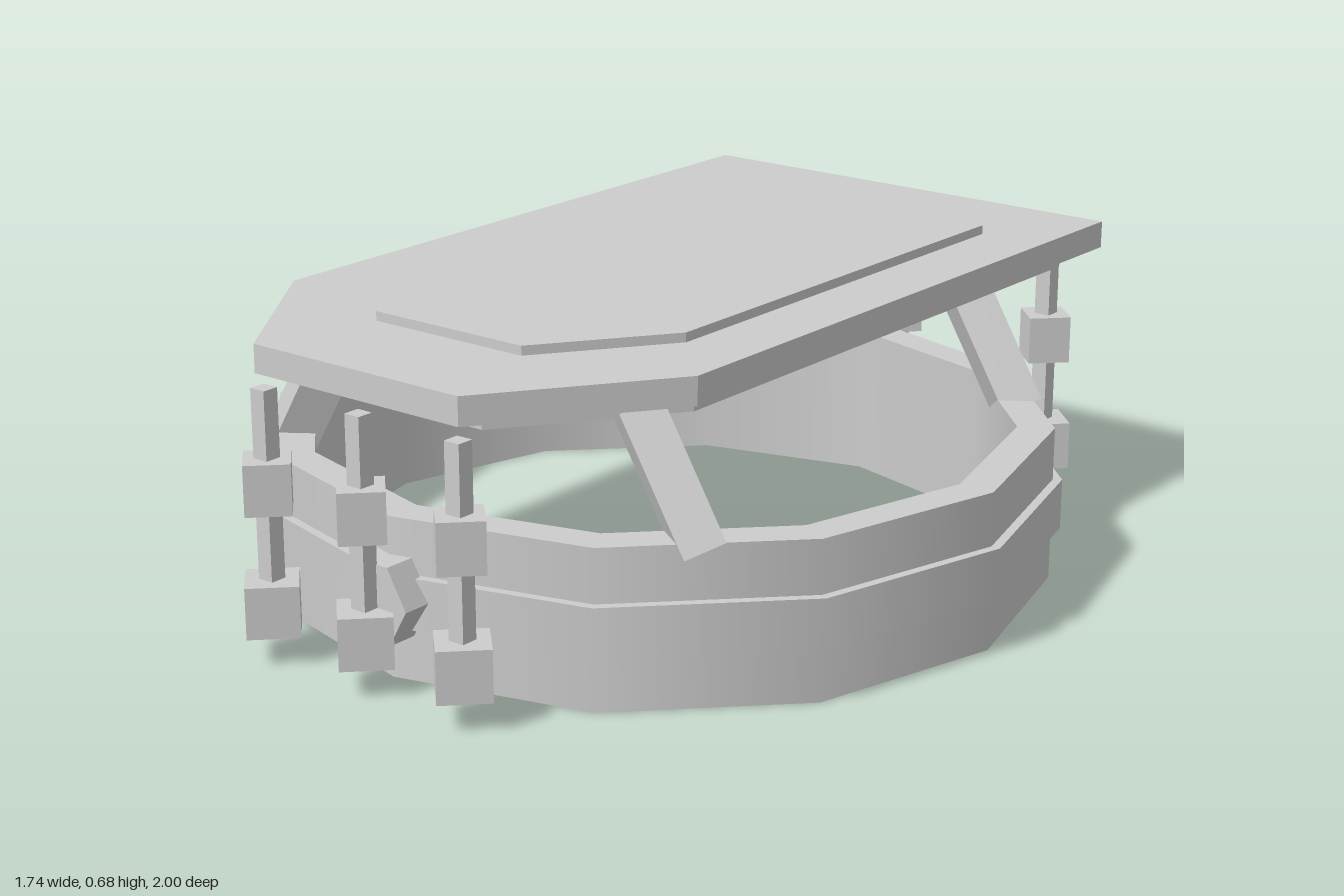
import * as THREE from 'three';
import { mergeGeometries } from 'three/addons/utils/BufferGeometryUtils.js';

export function createModel() {
  const model = new THREE.Group();
  const grey = new THREE.MeshStandardMaterial({ color: 0xcccccc });
  grey.name = 'light grey';

  const add = (name, geometry, x = 0, y = 0, z = 0, parent = model) => {
    const mesh = new THREE.Mesh(geometry, grey);
    mesh.name = name;
    mesh.position.set(x, y, z);
    parent.add(mesh);
    return mesh;
  };

  // Twelve-sided hoop, smooth around but sharp at its rims
  const hoop = (outer, inner, y0, y1) => {
    const loop = [[outer, y0], [outer, y1], [inner, y1], [inner, y0]].map(p => new THREE.Vector2(...p));
    return mergeGeometries(loop.map((p, i) => new THREE.LatheGeometry([p, loop[(i + 1) % 4]], 12)));
  };
  add('crownRing', hoop(0.85, 0.77, 0, 0.34));
  add('crownBand', hoop(0.87, 0.82, 0.115, 0.225));

  // Flat plate with two cut corners at the front
  const plate = (halfWidth, halfLength, bottom, top) => {
    const shape = new THREE.Shape([
      [-halfWidth, -halfLength], [halfWidth, -halfLength], [halfWidth, 0.6 * halfLength],
      [0.5 * halfWidth, halfLength], [-0.5 * halfWidth, halfLength], [-halfWidth, 0.6 * halfLength],
    ].map(p => new THREE.Vector2(...p)));
    return new THREE.ExtrudeGeometry(shape, { depth: top - bottom, bevelEnabled: false })
      .rotateX(Math.PI / 2).translate(0, top, 0);
  };
  add('underPlate', plate(0.485, 0.842, 0.565, 0.6));
  add('topBoard', plate(0.537, 0.935, 0.6, 0.66));
  add('topPanel', plate(0.385, 0.67, 0.66, 0.68));

  // Prism with flat-shaded sides
  const prism = (radius, height, sides) => {
    const geometry = new THREE.CylinderGeometry(radius, radius, height, sides).toNonIndexed();
    geometry.computeVertexNormals();
    return geometry;
  };

  // Slanted struts joining the ring to the board
  const strut = prism(1, 0.34, 4).scale(0.069, 1, 0.055);
  for (const side of [-1, 1]) {
    for (const z of [-0.57, 0.57]) {
      add('strut', strut, side * 0.468, 0.456, z).rotation.z = side * 0.54;
    }
  }

  // Hanging cords with two beads each
  const cord = new THREE.BoxGeometry(0.037, 0.42, 0.037);
  const upperBead = prism(0.067, 0.108, 4);
  const lowerBead = prism(0.077, 0.11, 4);
  for (const [spacing, z] of [[0.257, 0.924], [0.408, -0.922]]) {
    for (const i of [-1, 0, 1]) {
      const pendant = new THREE.Group();
      pendant.name = 'pendant';
      pendant.position.set(i * spacing, 0, z);
      add('cord', cord, 0, 0.36, 0, pendant);
      add('upperBead', upperBead, 0, 0.371, 0, pendant);
      add('lowerBead', lowerBead, 0, 0.115, 0, pendant);
      model.add(pendant);
    }
  }

  // Six-sided stud on the front of the ring
  add('frontStud', prism(0.095, 0.07, 6).rotateY(Math.PI / 2).rotateX(Math.PI / 2).rotateZ(Math.PI / 2)
    .rotateZ(Math.PI / 2), 0, 0.178, 0.873);

  return model;
}
